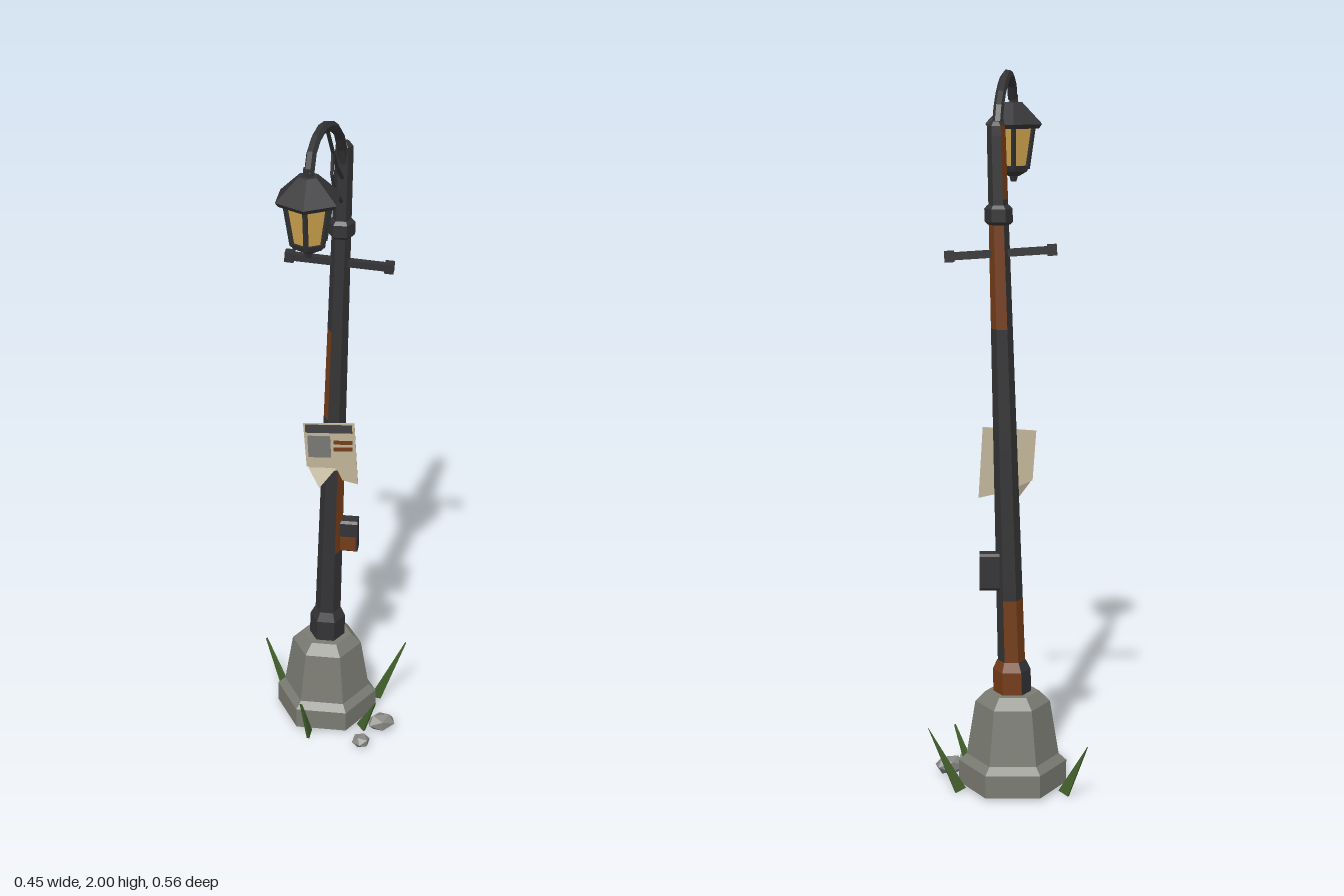
import * as THREE from 'three';

const mat = (name, color, extra = {}) => {
  const m = new THREE.MeshStandardMaterial({ color, flatShading: true, ...extra });
  m.name = name;
  return m;
};

export function createModel() {
  const iron = mat('dark iron', 0x333335);
  const rust = mat('rust', 0x743c18);
  const concrete = mat('concrete', 0x7a7b72);
  const stoneMat = mat('stone', 0x868682);
  const glass = mat('amber glass', 0xd0a44e);
  const paper = mat('old paper', 0xc0b397, { side: THREE.DoubleSide });
  const ink = mat('dark ink', 0x414143);
  const greyInk = mat('grey ink', 0x777772);
  const grass = mat('grass', 0x45632d);

  const model = new THREE.Group();
  model.name = 'streetLamp';
  const add = (name, geo, material, pos = [0, 0, 0], parent = model) => {
    const m = new THREE.Mesh(geo, material);
    m.name = name;
    m.position.set(...pos);
    parent.add(m);
    return m;
  };
  const V = (p) => new THREE.Vector3(...p);

  // Straight rod between two points
  const rod = (name, a, b, r, material, sides = 6, parent = model) => {
    const A = V(a), B = V(b), d = B.clone().sub(A);
    const m = add(name, new THREE.CylinderGeometry(r, r, d.length(), sides), material, [0, 0, 0], parent);
    m.position.copy(A).add(B).multiplyScalar(0.5);
    m.quaternion.setFromUnitVectors(new THREE.Vector3(0, 1, 0), d.normalize());
    return m;
  };

  // Six-sided loft through rings [x, y, z, radius]; rusty(ring, face) picks the second material
  const hexLoft = (name, rings, mats, rusty = () => false) => {
    const lists = [[], []];
    const pt = (i, k) => {
      const [x, y, z, r] = rings[i], t = (k * Math.PI) / 3;
      return [x + r * Math.cos(t), y, z + r * Math.sin(t)];
    };
    const last = rings.length - 1;
    for (let k = 0; k < 6; k++) {
      for (let i = 0; i < last; i++) {
        const a = pt(i, k), b = pt(i, k + 1), c = pt(i + 1, k), d = pt(i + 1, k + 1);
        lists[rusty(i, k) ? 1 : 0].push(...a, ...c, ...b, ...b, ...c, ...d);
      }
      lists[0].push(...rings[last].slice(0, 3), ...pt(last, k + 1), ...pt(last, k));
      lists[0].push(...rings[0].slice(0, 3), ...pt(0, k), ...pt(0, k + 1));
    }
    const geo = new THREE.BufferGeometry();
    geo.setAttribute('position', new THREE.Float32BufferAttribute(lists.flat(), 3));
    geo.addGroup(0, lists[0].length / 3, 0);
    geo.addGroup(lists[0].length / 3, lists[1].length / 3, 1);
    geo.computeVertexNormals();
    return add(name, geo, mats);
  };

  // Concrete footing
  const profile = [[0.01, 0.152], [0.075, 0.152], [0.095, 0.13], [0.25, 0.105], [0.28, 0.075]];
  hexLoft('footing', profile.map(([y, r]) => [-0.015, y, -0.147, r]), [concrete, rust]);

  // Leaning pole with rusted faces (0 = left front, counted round through front, right and back)
  const axis = (y) => {
    const t = (y - 0.28) / 1.57;
    return [-0.014 + 0.044 * t, y, -0.147 - 0.013 * t];
  };
  const ring = (y, r) => [...axis(y), r];
  const poleY = [0.28, 0.55, 0.58, 0.97, 1.03, 1.31, 1.6, 1.66, 1.83];
  const rustFaces = { 0: [3, 4], 2: [0], 4: [2], 6: [4, 5], 7: [], 8: [3] };
  const poleRings = poleY.map((y) => ring(y, 0.039 - 0.009 * (y - 0.28)));
  rustFaces[5] = [4, 5];
  rustFaces[6] = [];
  rustFaces[7] = [3];
  poleRings.push(ring(1.855, 0.024), ring(1.867, 0.014));
  hexLoft('pole', poleRings, [iron, rust], (i, k) => (rustFaces[i] || []).includes(k));
  hexLoft('lowerCollar', [ring(0.275, 0.053), ring(0.345, 0.053), ring(0.372, 0.04)], [iron, rust],
    (i, k) => k === 4 || k === 5);
  hexLoft('upperCollar', [ring(1.592, 0.03), ring(1.6, 0.038), ring(1.635, 0.038), ring(1.645, 0.029)], [iron, rust]);

  // Cross bar with block ends
  const bar = new THREE.Group();
  bar.name = 'crossBar';
  bar.position.set(0.018, 1.515, -0.158);
  bar.rotation.z = -0.065;
  model.add(bar);
  add('bar', new THREE.BoxGeometry(0.28, 0.02, 0.02), iron, [0, 0, 0], bar);
  for (const s of [-1, 1]) add('barEnd', new THREE.BoxGeometry(0.026, 0.029, 0.028), iron, [s * 0.139, 0, 0], bar);

  // Curved arm, sweeping forward from the pole
  const armX = (z) => 0.009 - 0.131 * z;
  const onArm = ([z, y]) => new THREE.Vector3(armX(z), y, z);
  const armPts = [[-0.157, 1.76], [-0.145, 1.83], [-0.105, 1.905], [-0.02, 1.962], [0.08, 1.985], [0.15, 1.967], [0.182, 1.935], [0.187, 1.912]];
  add('arm', new THREE.TubeGeometry(new THREE.CatmullRomCurve3(armPts.map(onArm)), 10, 0.014, 6), iron);

  // Scroll brace under the arm
  const brace = (pts, r) => pts.slice(1).forEach((p, i) =>
    rod('brace', onArm(pts[i]).toArray(), onArm(p).toArray(), r, iron, 5));
  brace([[0.015, 1.965], [-0.045, 1.875], [-0.085, 1.82], [-0.145, 1.765]], 0.0055);
  brace([[-0.04, 1.875], [-0.03, 1.825], [-0.055, 1.775], [-0.13, 1.705]], 0.005);

  // Hanging lantern
  const lantern = new THREE.Group();
  lantern.name = 'lantern';
  lantern.position.set(-0.018, 0, 0.187);
  model.add(lantern);
  const tier = (name, top, bottom, y0, y1, material = iron) =>
    add(name, new THREE.CylinderGeometry(top, bottom, y1 - y0, 6), material, [0, (y0 + y1) / 2, 0], lantern);
  tier('hanger', 0.014, 0.014, 1.895, 1.925);
  tier('roof', 0.027, 0.091, 1.845, 1.905);
  tier('eave', 0.091, 0.082, 1.833, 1.845);
  tier('glass', 0.061, 0.043, 1.725, 1.835, glass);
  tier('lowerRim', 0.051, 0.044, 1.712, 1.728);
  tier('lowerCap', 0.044, 0.018, 1.698, 1.712);
  tier('finial', 0.015, 0.009, 1.682, 1.7);
  for (let k = 0; k < 6; k++) {
    const s = Math.sin((k * Math.PI) / 3), c = Math.cos((k * Math.PI) / 3);
    rod('glassPost', [0.045 * s, 1.72, 0.045 * c], [0.064 * s, 1.838, 0.064 * c], 0.007, iron, 4, lantern);
  }

  // Torn notice on the front of the pole
  const outline = (pts) => new THREE.Shape(pts.map((p) => new THREE.Vector2(...p)));
  const sheet = [[-0.08, 1.02], [-0.07, 0.88], [-0.03, 0.862], [0.02, 0.872], [0.035, 0.84], [0.08, 0.83], [0.068, 1.03]];
  add('notice', new THREE.ExtrudeGeometry(outline(sheet), { depth: 0.004, bevelEnabled: false }), paper, [0, 0, -0.119]);
  const flap = add('noticeFlap', new THREE.ShapeGeometry(outline([[-0.04, 0], [-0.005, -0.058], [0.045, 0.008]])), paper, [-0.025, 0.876, -0.114]);
  flap.rotation.x = -0.4;
  const print = (name, x, y, w, h, material) => {
    const m = add(name, new THREE.BoxGeometry(w, h, 0.003), material, [x, y, -0.1145]);
    m.rotation.z = 0.05;
  };
  print('noticeHeading', -0.006, 1.008, 0.136, 0.026, ink);
  print('noticePicture', -0.033, 0.948, 0.066, 0.07, greyInk);
  for (const y of [0.966, 0.944]) print('noticeLine', 0.036, y, 0.054, 0.012, rust);

  // Junction box with a rusted lower front
  const chamfer = (w, h, c) => outline([[-w, -h + c], [-w + c, -h], [w - c, -h], [w, -h + c], [w, h - c], [w - c, h], [-w + c, h], [-w, h - c]]);
  const boxGeo = new THREE.ExtrudeGeometry(chamfer(0.023, 0.052, 0.007), { depth: 0.055, bevelEnabled: false });
  boxGeo.rotateY(Math.PI / 2);
  add('junctionBox', boxGeo, iron, [0.022, 0.632, -0.16]);
  add('junctionBoxRust', new THREE.BoxGeometry(0.046, 0.045, 0.004), rust, [0.049, 0.61, -0.136]);

  // Grass blades: flat wedges from root to tip
  const blades = [
    [[-0.145, -0.22], [-0.222, -0.265], 0.155],
    [[0.118, -0.198], [0.22, -0.235], 0.2],
    [[0.093, -0.055], [0.152, -0.005], 0.13],
    [[-0.045, -0.005], [-0.061, 0.092], 0.178],
  ];
  for (const [[x, z], [tx, tz], h] of blades) {
    const len = Math.hypot(tx - x, tz - z);
    const geo = new THREE.ExtrudeGeometry(outline([[0, 0.012], [0.03, 0], [len, h]]), { depth: 0.008, bevelEnabled: false });
    geo.translate(0, 0, -0.004);
    add('grassBlade', geo, grass, [x, 0, z]).rotation.y = -Math.atan2(tz - z, tx - x);
  }

  // Loose stones
  for (const [x, y, z, sx, sy, sz, turn] of [[0.165, 0.026, -0.054, 0.046, 0.029, 0.032, 0.3], [0.114, 0.018, 0.036, 0.029, 0.02, 0.028, 1]]) {
    const stone = add('stone', new THREE.IcosahedronGeometry(1, 0), stoneMat, [x, y, z]);
    stone.scale.set(sx, sy, sz);
    stone.rotation.y = turn;
  }
  return model;
}
